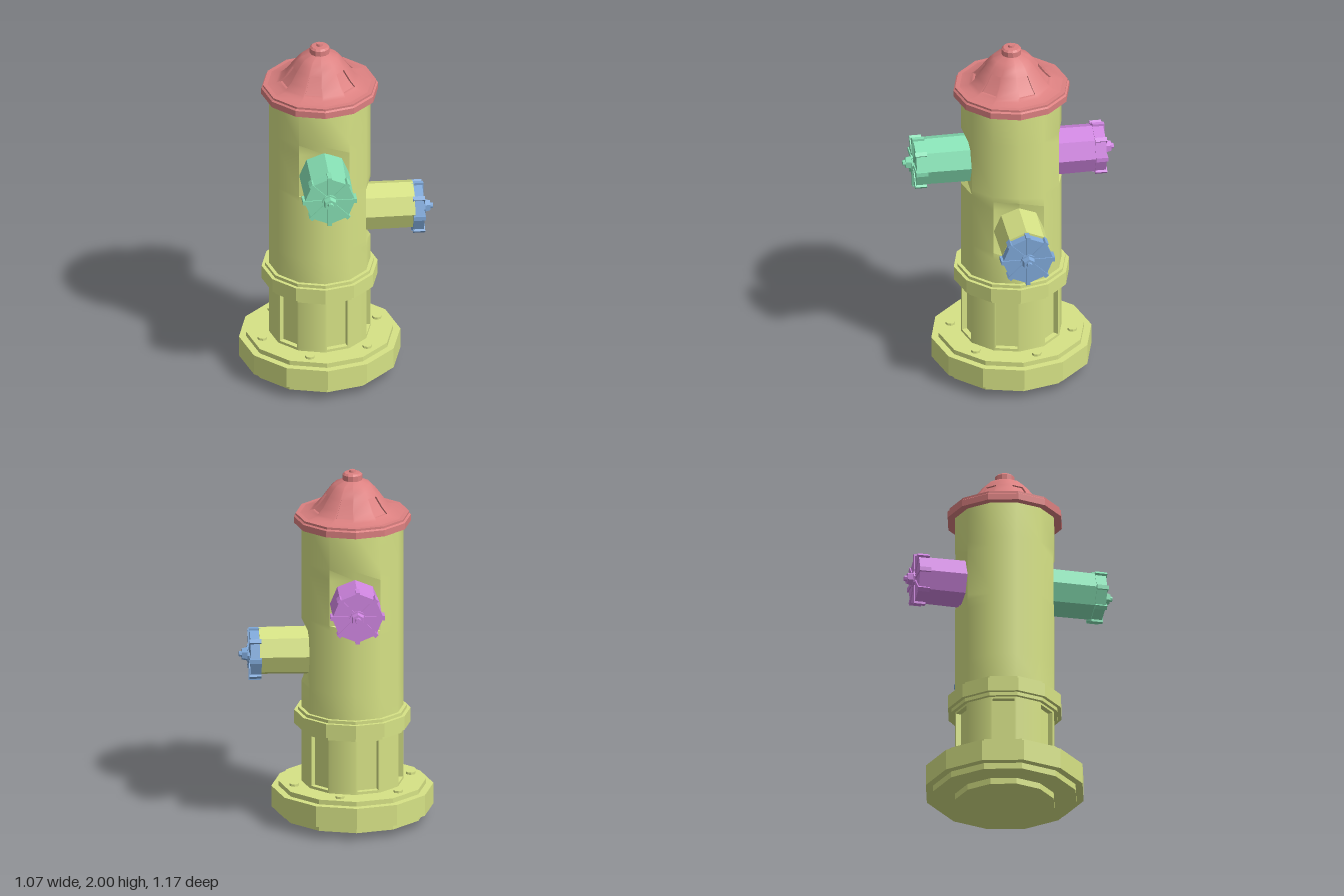
import * as THREE from 'three';
import { toCreasedNormals } from 'three/addons/utils/BufferGeometryUtils.js';

const SIDES = 12;
const paint = (color, flatShading = true) => new THREE.MeshStandardMaterial({ color, flatShading });

const YELLOW = 0xd6e285, RED = 0xdb8080, GREEN = 0x86e0b4, PURPLE = 0xcf85e0, BLUE = 0x7fa8d8;

function add(parent, name, geometry, material) {
  const mesh = new THREE.Mesh(geometry, material);
  mesh.name = name;
  parent.add(mesh);
  return mesh;
}

const lathe = (profile, sides = SIDES) =>
  new THREE.LatheGeometry(profile.map(([r, y]) => new THREE.Vector2(r, y)), sides);

// Twelve-sided outline whose alternate facets are sunk by a depth
function notchedRing(y, r, depth, parity) {
  const corner = k => new THREE.Vector3(Math.sin(k * Math.PI / 6) * r, y, Math.cos(k * Math.PI / 6) * r);
  const points = [];
  for (let k = 0; k < SIDES; k++) {
    const a = corner(k), b = corner(k + 1);
    points.push(a);
    if (k % 2 !== parity) continue;
    const p = a.clone().lerp(b, 0.08), q = a.clone().lerp(b, 0.92);
    const mid = (k + 0.5) * Math.PI / 6;
    const inward = new THREE.Vector3(-Math.sin(mid), 0, -Math.cos(mid)).multiplyScalar(depth);
    points.push(p, p.clone().add(inward), q.clone().add(inward), q);
  }
  return points;
}

// Skin over notched outlines, each given as [radius, y, depth]
function notchedLoft(rows, parity) {
  const rings = rows.map(([r, y, depth]) => notchedRing(y, r, depth, parity));
  const n = rings[0].length, position = [];
  for (let s = 0; s < rings.length - 1; s++) {
    for (let i = 0; i < n; i++) {
      const j = (i + 1) % n, lo = rings[s], up = rings[s + 1];
      for (const v of [lo[i], lo[j], up[j], lo[i], up[j], up[i]]) position.push(v.x, v.y, v.z);
    }
  }
  const geometry = new THREE.BufferGeometry();
  geometry.setAttribute('position', new THREE.Float32BufferAttribute(position, 3));
  return toCreasedNormals(geometry, 0.61);
}

// Upper barrel, pulled in where the three outlets meet it
function barrelGeometry() {
  const heights = [0.62, 0.79, 0.83, 1.1, 1.15, 1.18, 1.44, 1.5, 1.72];
  const geometry = lathe(heights.map(y => [0.28, y]));
  const p = geometry.attributes.position;
  for (let i = 0; i < p.count; i++) {
    const x = p.getX(i), y = p.getY(i), z = p.getZ(i);
    const atEnds = Math.abs(x) < 0.01 && y > 1.16 && y < 1.46;
    const atSide = x > 0.27 && y > 0.8 && y < 1.12;
    if (atEnds || atSide) p.setXYZ(i, x * 0.89, y, z * 0.89);
  }
  return toCreasedNormals(geometry.toNonIndexed(), 0.7);
}

// Octagonal outlet along +z with a ribbed cap and nut
function outlet(name, tubeColor, capColor, capStart, tubeLift) {
  const group = new THREE.Group();
  group.name = name;
  const rod = (part, r, from, to, sides, color, tip = r) => {
    const geometry = new THREE.CylinderGeometry(tip, r, to - from, sides).rotateX(Math.PI / 2);
    const mesh = add(group, part, geometry, paint(color));
    mesh.position.z = (from + to) / 2;
    return mesh;
  };
  rod('outletTube', 0.138, 0.2, capStart + 0.01, 8, tubeColor, 0.135).position.y = tubeLift;
  rod('capCore', 0.141, capStart, capStart + 0.06, 8, capColor);
  for (let k = 0; k < 4; k++) {
    const rib = add(group, 'capRib', new THREE.BoxGeometry(0.298, 0.024, 0.066), paint(capColor));
    rib.position.z = capStart + 0.033;
    rib.rotation.z = k * Math.PI / 4;
  }
  rod('nutFlange', 0.045, capStart + 0.055, capStart + 0.074, 8, capColor);
  rod('nut', 0.04, capStart + 0.07, capStart + 0.103, 6, capColor, 0.032);
  rod('nutTip', 0.018, capStart + 0.1, capStart + 0.119, 8, capColor, 0.015);
  return group;
}

export function createModel() {
  const model = new THREE.Group();
  model.name = 'hydrant';
  const hydrant = new THREE.Group();
  hydrant.name = 'hydrantBody';
  hydrant.position.set(-0.09, 0, -0.02);
  model.add(hydrant);

  // Stepped foot flange
  add(hydrant, 'baseFlange', lathe([
    [0, 0], [0.28, 0], [0.28, 0.035], [0.405, 0.035], [0.405, 0.07], [0.445, 0.07],
    [0.445, 0.188], [0.405, 0.188], [0.405, 0.215], [0.24, 0.215],
  ]), paint(YELLOW));

  // Flange bolts
  for (let k = 0; k < 6; k++) {
    const a = Math.PI / 4 + k * Math.PI / 3;
    const bolt = add(hydrant, 'flangeBolt', new THREE.CylinderGeometry(0.026, 0.026, 0.03, 8), paint(YELLOW));
    bolt.position.set(Math.cos(a) * 0.336, 0.213, Math.sin(a) * 0.336);
  }

  // Lower barrel with sunken panels, collar and upper barrel
  add(hydrant, 'lowerBarrel', notchedLoft([
    [0.28, 0.2, 0], [0.28, 0.23, 0], [0.28, 0.23, 0.03],
    [0.28, 0.515, 0.03], [0.28, 0.515, 0], [0.28, 0.56, 0],
  ], 0), paint(YELLOW, false));
  add(hydrant, 'collar', lathe([
    [0.26, 0.527], [0.3, 0.527], [0.3, 0.547], [0.32, 0.547],
    [0.32, 0.625], [0.3, 0.625], [0.3, 0.643], [0.26, 0.643],
  ]), paint(YELLOW));
  add(hydrant, 'upperBarrel', barrelGeometry(), paint(YELLOW, false));

  // Bonnet with rim, panelled dome and top nut
  add(hydrant, 'bonnetRim', lathe([
    [0, 1.702], [0.322, 1.702], [0.322, 1.738], [0.312, 1.745], [0.312, 1.757], [0.2, 1.762],
  ]), paint(RED));
  add(hydrant, 'bonnetDome', notchedLoft([
    [0.3, 1.756, 0], [0.24, 1.766, 0], [0.222, 1.778, 0], [0.222, 1.778, 0.014],
    [0.19, 1.812, 0.014], [0.15, 1.868, 0.014], [0.15, 1.868, 0],
    [0.125, 1.9, 0], [0.1, 1.925, 0], [0.04, 1.952, 0],
  ], 1), paint(RED, false));
  add(hydrant, 'topNut', lathe([
    [0.055, 1.94], [0.055, 1.975], [0.045, 1.985], [0.018, 1.987], [0.016, 2], [0, 2],
  ]), paint(RED));

  // Outlets: front, back and the model's left
  const front = outlet('frontOutlet', GREEN, GREEN, 0.486, 0.005);
  front.position.y = 1.307;
  const back = outlet('backOutlet', PURPLE, PURPLE, 0.449, 0);
  back.position.y = 1.307;
  back.rotation.y = Math.PI;
  const side = outlet('sideOutlet', YELLOW, BLUE, 0.505, 0.018);
  side.position.y = 0.95;
  side.rotation.y = Math.PI / 2;
  hydrant.add(front, back, side);

  return model;
}
